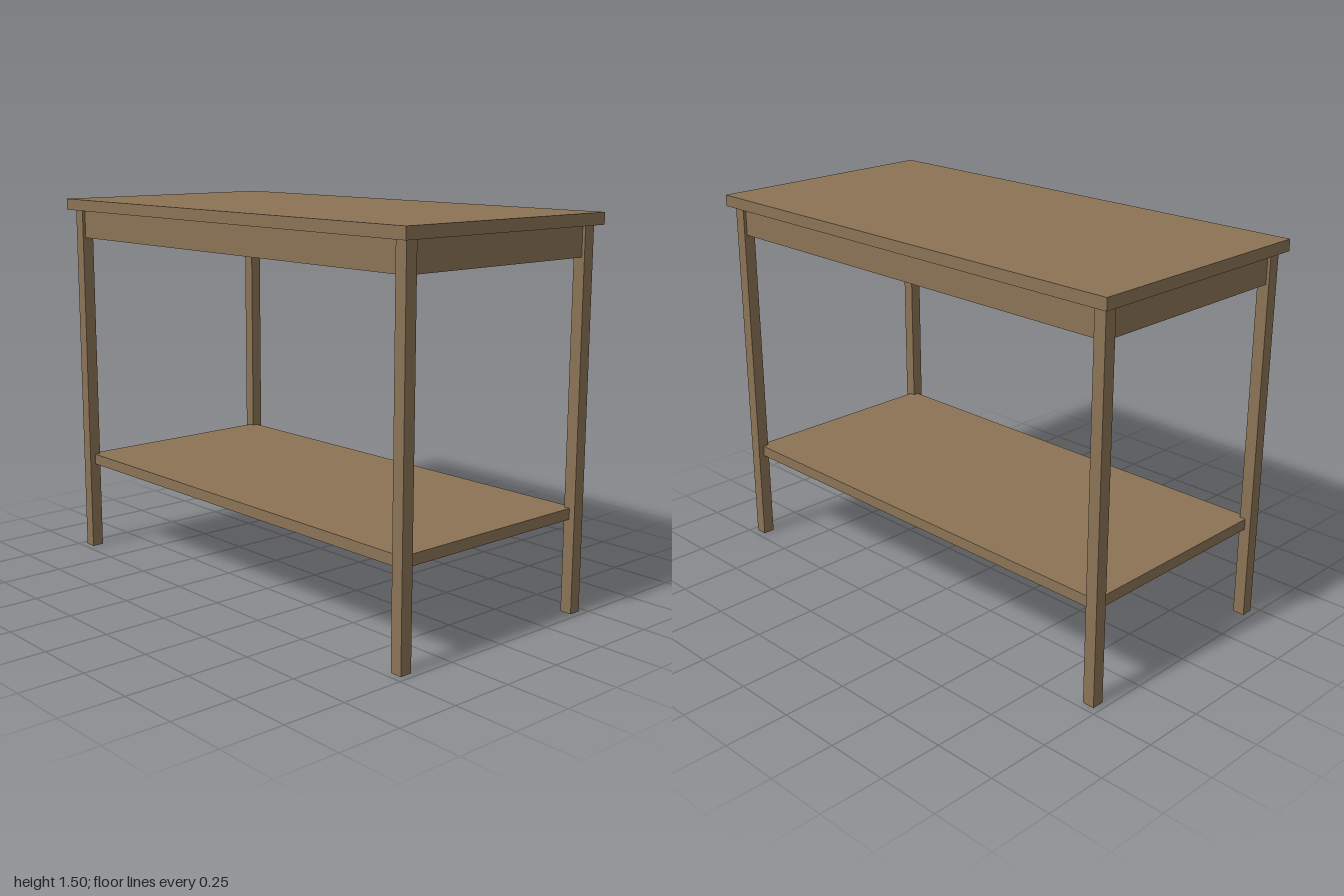
import * as THREE from 'three';

export function createModel() {
  const table = new THREE.Group();
  table.name = 'table';
  const wood = new THREE.MeshStandardMaterial({ color: 0x8b7355 });
  wood.name = 'brown wood';

  // Box placed by its centre in plan and its bottom and top heights
  function board(name, width, depth, bottom, top, x = 0, z = 0) {
    const mesh = new THREE.Mesh(new THREE.BoxGeometry(width, top - bottom, depth), wood);
    mesh.name = name;
    mesh.position.set(x, (bottom + top) / 2, z);
    table.add(mesh);
  }

  const LEG = 0.048, LEG_X = 0.951, LEG_Z = 0.448; // leg thickness and centres
  const TOP = 1.455, APRON_BOTTOM = 1.34, APRON = 0.024;

  // Table top and lower shelf
  board('tableTop', 2, 1, TOP, 1.5);
  board('lowerShelf', 2 * LEG_X, 2 * LEG_Z, 0.365, 0.408);

  // Four square legs
  for (const [xSide, sx] of [['Left', 1], ['Right', -1]]) {
    for (const [zSide, sz] of [['front', 1], ['back', -1]]) {
      board(`${zSide}${xSide}Leg`, LEG, LEG, 0, TOP, sx * LEG_X, sz * LEG_Z);
    }
  }

  // Aprons set between the legs
  for (const [name, s] of [['front', 1], ['back', -1]]) {
    board(`${name}Apron`, 2 * LEG_X - LEG, APRON, APRON_BOTTOM, TOP, 0, s * LEG_Z);
  }
  for (const [name, s] of [['left', 1], ['right', -1]]) {
    board(`${name}Apron`, APRON, 2 * LEG_Z - LEG, APRON_BOTTOM, TOP, s * LEG_X, 0);
  }

  return table;
}
